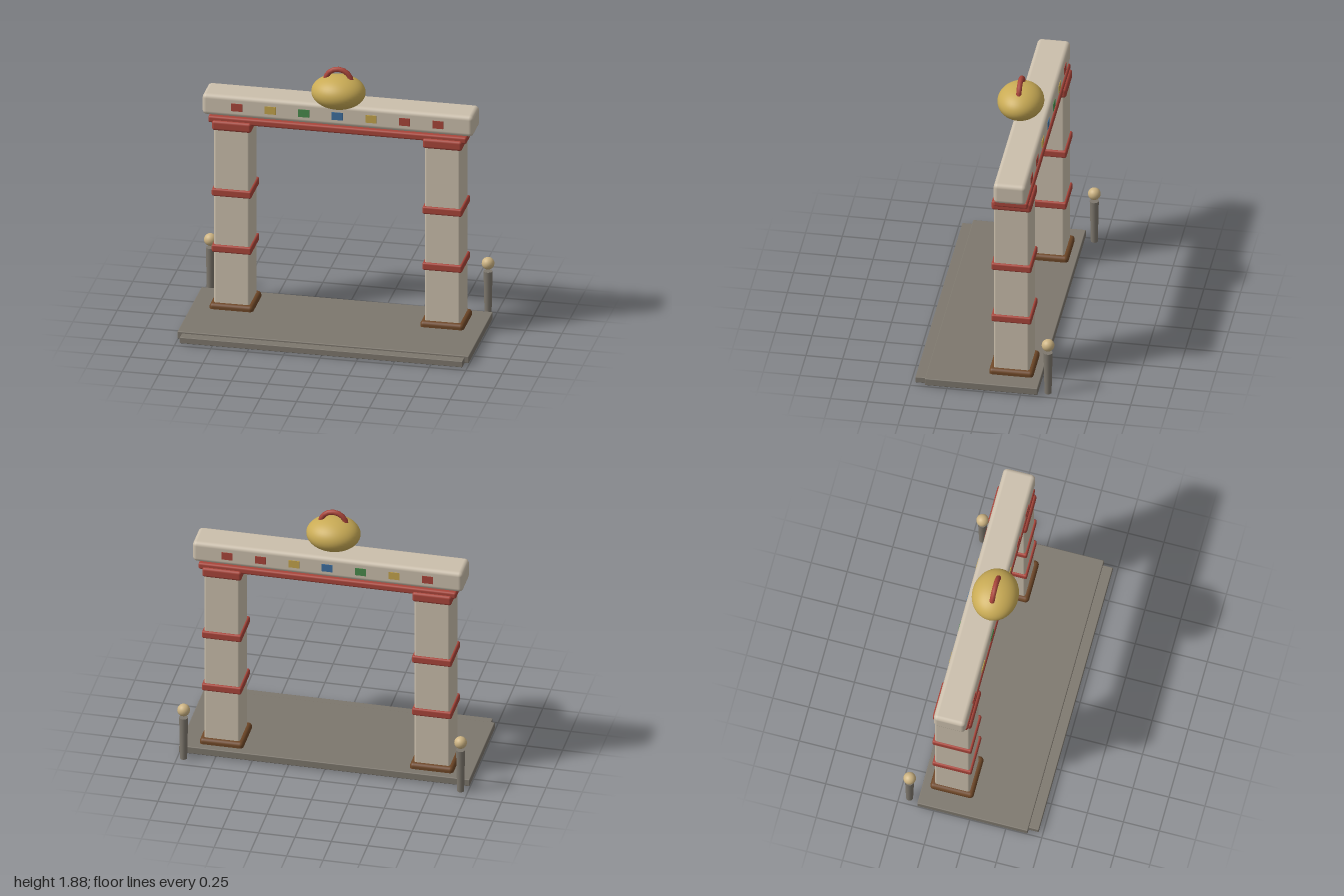
import * as THREE from 'three';
import { RoundedBoxGeometry } from 'three/addons/geometries/RoundedBoxGeometry.js';

const paint = (color) => new THREE.MeshStandardMaterial({ color });
const stone = paint(0xcbbfac), red = paint(0xa9453a), wood = paint(0x6e4727);
const slate = paint(0x7d776d), gold = paint(0xc9ab55), tan = paint(0xcdb483);
const green = paint(0x4a8a4c), blue = paint(0x3f6f9f), yellow = paint(0xc4a44c);

function add(parent, name, geometry, material, x = 0, y = 0, z = 0) {
  const mesh = new THREE.Mesh(geometry, material);
  mesh.name = name;
  mesh.position.set(x, y, z);
  parent.add(mesh);
  return mesh;
}

// Rounded block given by width, depth and its bottom and top heights
function block(parent, name, material, w, d, y0, y1, x, z, r) {
  const geometry = new RoundedBoxGeometry(w, y1 - y0, d, 3, r);
  return add(parent, name, geometry, material, x, (y0 + y1) / 2, z);
}

export function createModel() {
  const model = new THREE.Group();
  model.name = 'gateway';
  const gateZ = -0.163;

  // Ground slab, front step and the mat set into the underside
  block(model, 'platform', slate, 2, 0.767, 0.01, 0.063, 0, 0.018, 0.006);
  block(model, 'frontStep', slate, 1.94, 0.14, 0.007, 0.05, 0, 0.4, 0.004);
  add(model, 'mat', new THREE.BoxGeometry(0.8, 0.02, 0.38), gold, 0, 0.015, 0.06);

  for (const side of [-1, 1]) {
    // Banded pillar
    const pillar = new THREE.Group();
    pillar.name = side > 0 ? 'leftPillar' : 'rightPillar';
    pillar.position.set(side * 0.723, 0, gateZ);
    model.add(pillar);
    block(pillar, 'shaft', stone, 0.245, 0.243, 0, 1.4, 0, 0, 0.015);
    block(pillar, 'base', wood, 0.3, 0.3, 0.005, 0.102, 0, 0, 0.025);
    for (const y of [0.5, 0.91]) {
      block(pillar, 'band', red, 0.272, 0.272, y - 0.027, y + 0.027, 0, 0, 0.012);
    }
    block(pillar, 'capital', red, 0.27, 0.27, 1.362, 1.432, 0, 0, 0.018);

    // Marker post with a floating ball
    const post = new THREE.Group();
    post.name = side > 0 ? 'leftPost' : 'rightPost';
    post.position.set(side * 0.953, 0, -0.43);
    model.add(post);
    add(post, 'stake', new THREE.CylinderGeometry(0.031, 0.024, 0.32, 16), slate, 0, 0.17, 0);
    add(post, 'ball', new THREE.SphereGeometry(0.043, 20, 14), tan, 0, 0.387, 0);
  }

  // Red lintel and stone beam
  block(model, 'lintel', red, 1.774, 0.235, 1.41, 1.458, 0, gateZ, 0.014);
  block(model, 'beam', stone, 1.86, 0.222, 1.46, 1.612, 0, gateZ, 0.03);

  // Coloured tiles running through to both faces of the beam
  [red, yellow, green, blue, yellow, red, red].forEach((color, i) => {
    const geometry = new THREE.BoxGeometry(0.075, 0.055, 0.23);
    add(model, 'tile', geometry, color, (i - 3) * 0.23, 1.535, gateZ);
  });

  // Golden pot with an arched handle
  const pot = add(model, 'pot', new THREE.SphereGeometry(1, 40, 28), gold, 0, 1.7, -0.088);
  pot.scale.set(0.184, 0.115, 0.157);
  add(model, 'handle', new THREE.TorusGeometry(0.089, 0.018, 10, 8, Math.PI), red, 0, 1.774, -0.088);

  return model;
}
